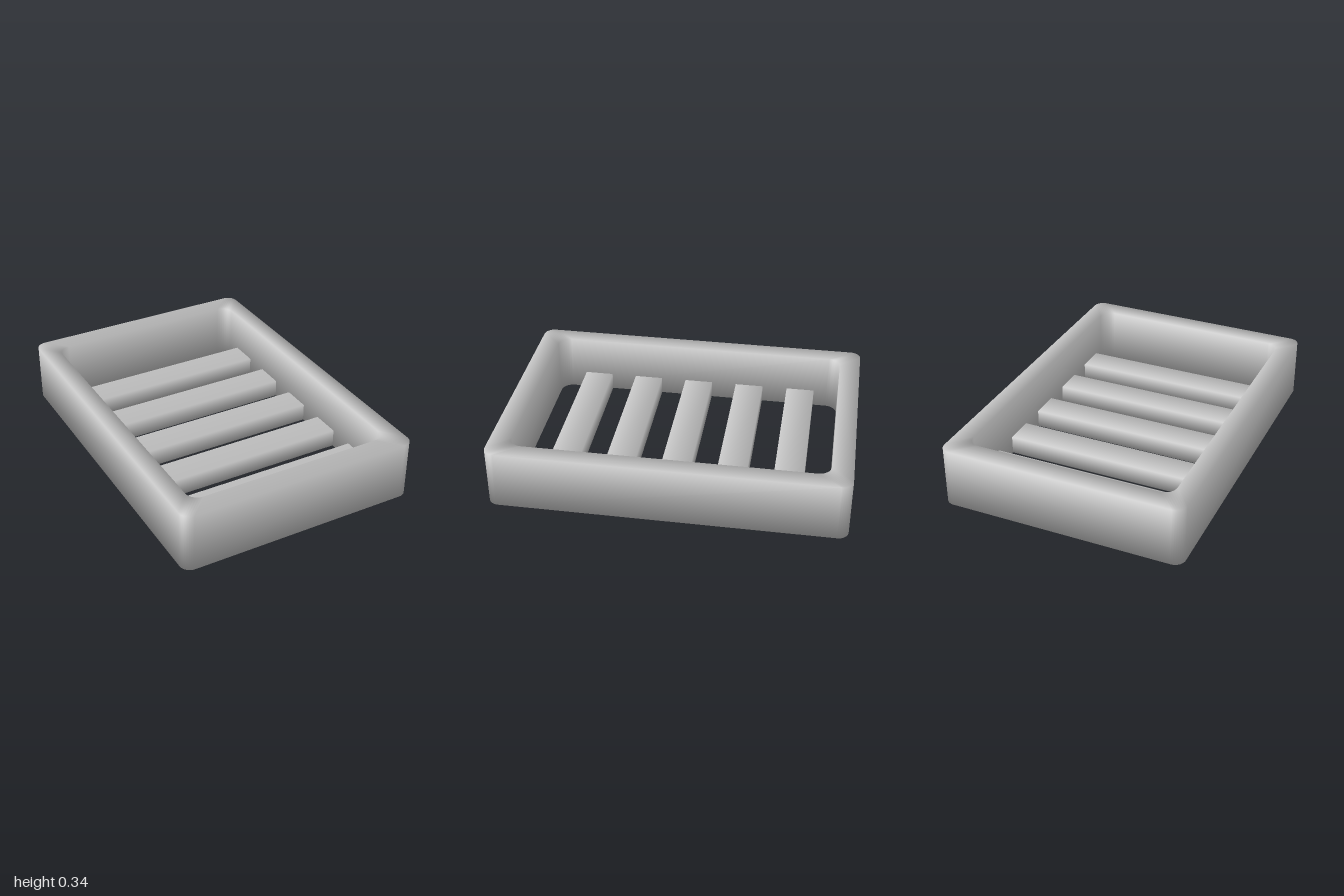
import * as THREE from 'three';

const HEIGHT = 0.34;
const INNER_X = 0.596;

// One rounded-rectangle loop at height y; normals lean outward (side 1) or
// inward (side -1) and up or down, so the shading blends over every edge
function addLoop(positions, normals, halfW, halfL, r, y, side) {
  const steps = 8;
  for (let corner = 0; corner < 4; corner++) {
    const cx = (corner === 0 || corner === 3 ? 1 : -1) * (halfW - r);
    const cz = (corner < 2 ? 1 : -1) * (halfL - r);
    for (let i = 0; i <= steps; i++) {
      const a = (corner + i / steps) * Math.PI / 2;
      const c = Math.cos(a), s = Math.sin(a);
      positions.push(cx + r * c, y, cz + r * s);
      const n = new THREE.Vector3(side * c, y > 0 ? 1 : -1, side * s).normalize();
      normals.push(n.x, n.y, n.z);
    }
  }
  return 4 * (steps + 1);
}

// Frame: outer wall, top rim, inner wall and bottom rim joined loop to loop
function frameGeometry() {
  const positions = [], normals = [], index = [];
  const outer = [0.7, 1, 0.06], inner = [INNER_X, 0.88, 0.07];
  addLoop(positions, normals, ...outer, 0, 1);
  addLoop(positions, normals, ...outer, HEIGHT, 1);
  addLoop(positions, normals, ...inner, HEIGHT, -1);
  const count = addLoop(positions, normals, ...inner, 0, -1);
  for (let k = 0; k < 4; k++) {
    const lower = k * count, upper = ((k + 1) % 4) * count;
    for (let i = 0; i < count; i++) {
      const j = (i + 1) % count;
      index.push(lower + i, upper + i, lower + j, lower + j, upper + i, upper + j);
    }
  }
  const geo = new THREE.BufferGeometry();
  geo.setAttribute('position', new THREE.Float32BufferAttribute(positions, 3));
  geo.setAttribute('normal', new THREE.Float32BufferAttribute(normals, 3));
  geo.setIndex(index);
  return geo;
}

export function createModel() {
  const model = new THREE.Group();
  model.name = 'slattedTray';
  const grey = new THREE.MeshStandardMaterial({ color: 0xc4c4c4 });
  grey.name = 'light grey';

  const frame = new THREE.Mesh(frameGeometry(), grey);
  frame.name = 'frame';
  model.add(frame);

  // Slats: five flat bars level with the underside, softly shaded
  const thickness = 0.105, width = 0.17;
  const slatGeo = new THREE.CylinderGeometry(Math.SQRT1_2, Math.SQRT1_2, 2 * INNER_X, 4, 1, true);
  slatGeo.rotateY(Math.PI / 4);
  slatGeo.rotateZ(Math.PI / 2);
  slatGeo.scale(1, thickness, width);
  const slats = new THREE.Group();
  slats.name = 'slats';
  for (let i = -2; i <= 2; i++) {
    const slat = new THREE.Mesh(slatGeo, grey);
    slat.name = `slat${i + 3}`;
    slat.position.set(0, thickness / 2, i * 0.322 - 0.003);
    slats.add(slat);
  }
  model.add(slats);

  return model;
}
